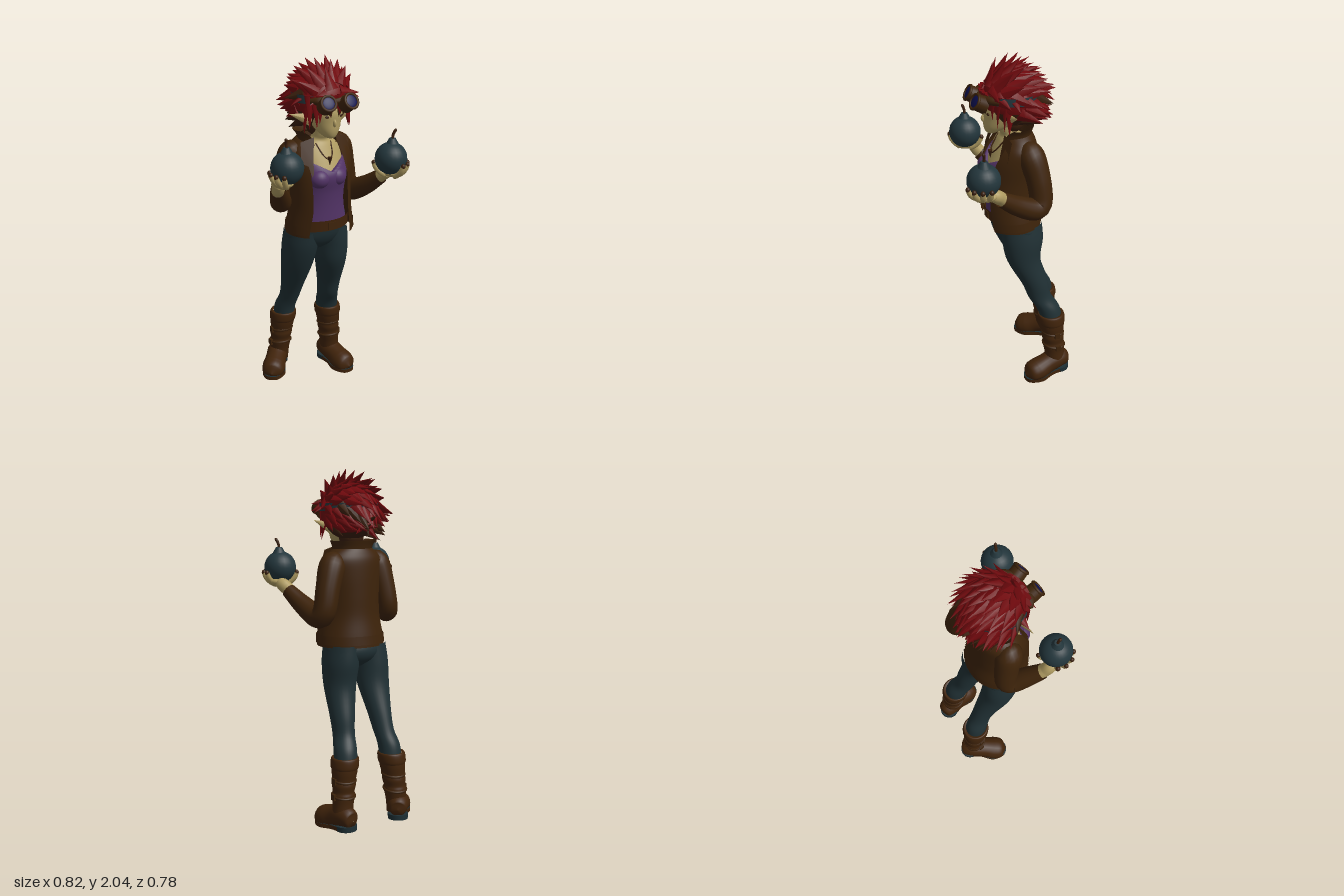
import * as THREE from 'three';
import { mergeGeometries, mergeVertices } from 'three/addons/utils/BufferGeometryUtils.js';

const V = (x, y, z) => new THREE.Vector3(x, y, z);
const paint = (name, color, side = THREE.FrontSide) => {
  const m = new THREE.MeshStandardMaterial({ color, side });
  m.name = name;
  return m;
};

// Drop uvs and weld so normals are smooth across seams
function weld(g) {
  g.deleteAttribute('uv');
  g.deleteAttribute('normal');
  g = mergeVertices(g, 1e-5);
  g.computeVertexNormals();
  return g;
}

// Smooth stack of ellipses, bottom to top: [y, cx, cz, rx, rz, half angle of the front gap]
function loft(rings, seg = 32, per = 5) {
  const mid = new THREE.CatmullRomCurve3(rings.map(r => V(r[1], r[0], r[2])), false, 'catmullrom');
  const rad = new THREE.CatmullRomCurve3(rings.map(r => V(r[3], r[4], r[5] || 0)), false, 'catmullrom');
  const rows = (rings.length - 1) * per, pos = [], idx = [];
  for (let i = 0; i <= rows; i++) {
    const c = mid.getPoint(i / rows), r = rad.getPoint(i / rows);
    for (let j = 0; j <= seg; j++) {
      const a = r.z + (j / seg) * (Math.PI * 2 - 2 * r.z);
      pos.push(c.x + Math.sin(a) * r.x, c.y, c.z + Math.cos(a) * r.y);
      if (i < rows && j < seg) {
        const k = i * (seg + 1) + j, u = k + seg + 1;
        idx.push(k, k + 1, u, k + 1, u + 1, u);
      }
    }
  }
  const g = new THREE.BufferGeometry();
  g.setAttribute('position', new THREE.Float32BufferAttribute(pos, 3));
  g.setIndex(idx);
  return weld(g);
}

// Tube of changing radius: [x, y, z, r]
function limb(pts, sides = 14, n = 24) {
  const path = new THREE.CatmullRomCurve3(pts.map(p => V(p[0], p[1], p[2])), false, 'catmullrom');
  const rad = new THREE.CatmullRomCurve3(pts.map(p => V(p[3], 0, 0)), false, 'catmullrom');
  const g = new THREE.TubeGeometry(path, n, 1, sides), p = g.attributes.position, v = V(0, 0, 0);
  for (let i = 0; i < p.count; i++) {
    const u = Math.floor(i / (sides + 1)) / n, c = path.getPointAt(u);
    const r = rad.getPoint(path.getUtoTmapping(u)).x;
    v.fromBufferAttribute(p, i).sub(c).multiplyScalar(Math.max(r, 0.0005)).add(c);
    p.setXYZ(i, v.x, v.y, v.z);
  }
  return weld(g);
}

const ball = (x, y, z, rx, ry = rx, rz = rx) => new THREE.SphereGeometry(1, 24, 16).scale(rx, ry, rz).translate(x, y, z);

// Flat hair lock from root p along dir, curving by bend
function lock(p, dir, normal, len, w, bend) {
  const g = new THREE.ConeGeometry(w, len, 6, 4).translate(0, len / 2, 0).scale(1, 1, 0.45);
  const y = dir.clone().normalize(), x = V(0, 0, 0).crossVectors(y, normal).normalize();
  g.applyMatrix4(new THREE.Matrix4().makeBasis(x, y, V(0, 0, 0).crossVectors(x, y)));
  const a = g.attributes.position;
  for (let i = 0; i < a.count; i++) {
    const t = Math.max(0, V(a.getX(i), a.getY(i), a.getZ(i)).dot(y) / len) ** 2;
    a.setXYZ(i, a.getX(i) + p.x + bend.x * t, a.getY(i) + p.y + bend.y * t, a.getZ(i) + p.z + bend.z * t);
  }
  g.computeVertexNormals();
  return g;
}

export function createModel() {
  const root = new THREE.Group();
  const jacketM = paint('jacket leather', 0x3d230a, THREE.DoubleSide);
  const bootM = paint('boot leather', 0x41240b);
  const denim = paint('denim', 0x203034), iron = paint('iron', 0x23363c);
  const skin = paint('skin', 0xb09c62), red = paint('red hair', 0x70090d);
  const darkHair = paint('dark hair', 0x3a1f0d);
  const purple = paint('purple shirt', 0x523366, THREE.DoubleSide);
  const glass = paint('blue glass', 0x0d0f50), sole = paint('sole', 0x1e2f34);
  const add = (name, g, m, parent = root) => {
    const mesh = new THREE.Mesh(g, m);
    mesh.name = name;
    parent.add(mesh);
    return mesh;
  };

  // Trousers
  add('hips', loft([[0.91, 0.005, -0.04, 0.07, 0.05], [0.95, 0.003, -0.04, 0.15, 0.105], [1.0, 0, -0.035, 0.194, 0.132],
    [1.06, 0, -0.02, 0.185, 0.135], [1.13, 0, 0, 0.165, 0.13]]), denim);
  add('rightLeg', loft([[0.36, -0.09, -0.265, 0.066, 0.066], [0.46, -0.09, -0.245, 0.063, 0.068], [0.54, -0.082, -0.205, 0.059, 0.067],
    [0.64, -0.085, -0.16, 0.068, 0.076], [0.8, -0.098, -0.085, 0.094, 0.097], [0.93, -0.099, -0.05, 0.101, 0.12], [1.04, -0.09, -0.033, 0.1, 0.125]]), denim);
  add('leftLeg', loft([[0.36, 0.187, -0.2, 0.068, 0.066], [0.46, 0.175, -0.175, 0.066, 0.07], [0.54, 0.152, -0.13, 0.062, 0.07],
    [0.64, 0.14, -0.1, 0.071, 0.078], [0.8, 0.112, -0.04, 0.092, 0.1], [0.93, 0.104, -0.035, 0.101, 0.122], [1.04, 0.09, -0.03, 0.1, 0.125]]), denim);
  add('belt', loft([[1.06, 0, -0.005, 0.185, 0.147], [1.125, 0, 0.003, 0.177, 0.147]], 32, 2), bootM);
  add('beltBuckle', new THREE.BoxGeometry(0.05, 0.04, 0.008).translate(0, 1.09, 0.148), jacketM);

  // Boots: shaft, cuff, straps, foot and sole
  const boots = [
    { name: 'right', top: [-0.093, -0.262], ankle: [-0.108, -0.3], heel: [-0.103, 0.03, -0.318], turn: -0.72 },
    { name: 'left', top: [0.187, -0.19], ankle: [0.219, -0.21], heel: [0.217, 0.004, -0.232], turn: 0.1 }];
  for (const b of boots) {
    const boot = new THREE.Group();
    boot.name = b.name + 'Boot';
    root.add(boot);
    const at = (y, r) => {
      const t = (0.42 - y) / 0.32, m = (i) => b.top[i] + (b.ankle[i] - b.top[i]) * t;
      return [y, m(0), m(1), r, r * 1.02];
    };
    add('shaft', loft([at(0.07, 0.06), at(0.15, 0.06), at(0.2, 0.066), at(0.225, 0.062), at(0.26, 0.068), at(0.29, 0.066), at(0.34, 0.074), at(0.4, 0.077)]), bootM, boot);
    add('cuff', loft([at(0.355, 0.076), at(0.37, 0.081), at(0.405, 0.081), at(0.42, 0.075), at(0.415, 0.06)], 32, 3), bootM, boot);
    for (const y of [0.2, 0.29]) {
      const s = at(y, 0.065);
      add('strap', new THREE.TorusGeometry(s[3], 0.008, 8, 28).rotateX(1.45).translate(s[1], y, s[2]), jacketM, boot);
      add('strapBuckle', new THREE.BoxGeometry(0.016, 0.035, 0.03).translate(s[1] + Math.sign(s[1]) * 0.069, y, s[2]), jacketM, boot);
    }
    const foot = new THREE.Group();
    foot.name = 'foot';
    foot.position.set(...b.heel);
    foot.rotation.set(0.06, b.turn, 0, 'YXZ');
    boot.add(foot);
    const shoe = limb([[0, 0.06, -0.07, 0], [0, 0.06, -0.056, 0.045], [0, 0.08, 0, 0.064], [0, 0.065, 0.08, 0.064],
      [0, 0.045, 0.145, 0.072], [0, 0.04, 0.2, 0.058], [0, 0.04, 0.23, 0]], 20, 40);
    const p = shoe.attributes.position;
    for (let i = 0; i < p.count; i++) p.setY(i, Math.max(p.getY(i), 0.022));
    shoe.computeVertexNormals();
    add('shoe', shoe, bootM, foot);
    const outline = new THREE.Shape(new THREE.SplineCurve([[0, -0.07], [0.052, -0.035], [0.052, 0.06], [0.072, 0.145], [0.044, 0.215], [0, 0.232],
      [-0.044, 0.215], [-0.072, 0.145], [-0.052, 0.06], [-0.052, -0.035], [0, -0.07]].map(q => new THREE.Vector2(q[0], -q[1]))).getPoints(50));
    add('sole', new THREE.ExtrudeGeometry(outline, { depth: 0.024, bevelEnabled: false }).rotateX(-Math.PI / 2), [sole, bootM], foot);
    add('heel', new THREE.CylinderGeometry(0.06, 0.058, 0.03, 24).translate(0, 0.014, -0.012), sole, foot);
  }

  // Torso: chest, neck, shirt with a V neckline, pendant
  add('chest', loft([[1.3, 0, 0.01, 0.13, 0.12], [1.38, 0, 0.015, 0.14, 0.125], [1.46, 0, 0.005, 0.14, 0.105], [1.54, 0, -0.01, 0.12, 0.082],
    [1.575, 0.003, 0, 0.062, 0.055], [1.61, 0.005, 0.02, 0.048, 0.05], [1.7, 0.005, 0.045, 0.05, 0.05]]), skin);
  const shirt = loft([[1.08, 0, 0, 0.17, 0.137], [1.2, 0, 0.008, 0.145, 0.13], [1.29, 0, 0.012, 0.145, 0.134], [1.37, 0, 0.017, 0.155, 0.146],
    [1.42, 0, 0.014, 0.155, 0.136], [1.48, 0, 0.003, 0.15, 0.108]], 48, 6);
  const sp = shirt.attributes.position;
  for (let i = 0; i < sp.count; i++) sp.setY(i, Math.min(sp.getY(i), 1.41 + 0.55 * Math.abs(sp.getX(i))));
  shirt.computeVertexNormals();
  add('shirt', shirt, purple);
  for (const s of [-1, 1]) add('bust', ball(-0.01 + s * 0.055, 1.372, 0.115, 0.06, 0.055, 0.055), purple);
  add('necklace', limb([[-0.05, 1.56, 0.05, 0.004], [-0.03, 1.5, 0.098, 0.004], [0, 1.475, 0.112, 0.004], [0.03, 1.5, 0.098, 0.004], [0.05, 1.56, 0.05, 0.004]], 6), darkHair);
  add('pendant', new THREE.ConeGeometry(0.014, 0.05, 6).rotateX(Math.PI).translate(0, 1.465, 0.12), darkHair);

  // Jacket, open at the front and hanging a little to one side
  add('jacket', loft([[1.03, 0.004, 0, 0.202, 0.176, 0.7], [1.08, 0.004, 0.004, 0.2, 0.176, 0.68], [1.2, 0.003, 0.017, 0.18, 0.171, 0.66],
    [1.32, 0.003, 0.014, 0.18, 0.165, 0.66], [1.44, 0.005, 0.002, 0.19, 0.15, 0.66], [1.52, 0.008, -0.018, 0.185, 0.124, 0.7],
    [1.565, 0.008, -0.03, 0.15, 0.098, 0.72], [1.6, 0.008, -0.03, 0.1, 0.08, 0.75]], 44).rotateY(-0.1), jacketM);
  add('jacketHem', loft([[1.045, 0.004, 0.002, 0.207, 0.18, 0.7], [1.095, 0.004, 0.006, 0.203, 0.179, 0.68]], 40, 2).rotateY(-0.1), jacketM);
  add('collar', loft([[1.55, 0.006, -0.015, 0.12, 0.095, 0.62], [1.6, 0.004, -0.018, 0.125, 0.1, 0.75], [1.635, 0, -0.02, 0.146, 0.108, 1.05]], 36, 3), jacketM);
  for (const s of [-1, 1]) {
    const flap = new THREE.Shape([[0.07, 1.6], [0.15, 1.58], [0.165, 1.47], [0.13, 1.45], [0.115, 1.36], [0.1, 1.47]].map(q => new THREE.Vector2(q[0] * s, q[1])));
    const g = new THREE.ShapeGeometry(flap), p = g.attributes.position;
    for (let i = 0; i < p.count; i++) p.setZ(i, 0.145 - (p.getY(i) - 1.36) * 0.34 - Math.max(0, Math.abs(p.getX(i)) - 0.1) * 0.35);
    g.computeVertexNormals();
    add('lapel', g, jacketM);
  }

  // Arms, hands and the round bombs they carry
  const arms = [
    { name: 'right', s: -1, arm: [[-0.11, 1.54, -0.035, 0.04], [-0.15, 1.5, -0.045, 0.075], [-0.172, 1.38, -0.08, 0.068], [-0.19, 1.25, -0.1, 0.062],
      [-0.212, 1.215, -0.065, 0.064], [-0.258, 1.27, 0, 0.056], [-0.305, 1.335, 0.065, 0.044]], bomb: [-0.3, 1.485, 0.158], tip: -0.01,
      fingers: [-2.2, -1.7, -1.2, -0.7], thumb: 2.6 },
    { name: 'left', s: 1, arm: [[0.12, 1.54, -0.035, 0.04], [0.168, 1.5, -0.05, 0.076], [0.218, 1.38, -0.075, 0.07], [0.248, 1.25, -0.08, 0.066],
      [0.262, 1.215, -0.035, 0.066], [0.282, 1.27, 0.08, 0.056], [0.31, 1.345, 0.185, 0.042]], bomb: [0.305, 1.475, 0.28], tip: 0.022,
      fingers: [1.65, 1.15, 0.65, 0.15], thumb: -2.3 }];
  for (const a of arms) {
    add(a.name + 'Sleeve', limb(a.arm, 18, 36), jacketM);
    const [x, y, z] = a.bomb, w = a.arm[6];
    const hand = new THREE.Group();
    hand.name = a.name + 'Hand';
    root.add(hand);
    add('wrist', limb([[w[0] - a.s * 0.01, w[1] - 0.015, w[2] - 0.02, 0.036], [w[0] + a.s * 0.006, w[1] + 0.015, w[2] + 0.012, 0.038],
      [x + a.s * 0.025, y - 0.092, z - 0.05, 0.036], [x + a.s * 0.015, y - 0.095, z, 0.02]]), skin, hand);
    add('palm', ball(x + a.s * 0.018, y - 0.083, z - 0.01, 0.054, 0.028, 0.062), skin, hand);
    [...a.fingers, a.thumb].forEach((az, k) => {
      const pts = [0.3, 0.65, 1.0, 1.28].map((q, i) => [x + Math.sin(az) * Math.sin(q) * 0.1,
        y - Math.cos(q) * 0.103, z + Math.cos(az) * Math.sin(q) * 0.1, [0.018, 0.017, 0.016, 0.013][i]]);
      add(k === 4 ? 'thumb' : 'finger', limb(pts, 8, 10), skin, hand);
      add('fingerTip', ball(...pts[3].slice(0, 3), 0.013, 0.015, 0.013), darkHair, hand);
    });
    const bomb = new THREE.Group();
    bomb.name = a.name + 'Bomb';
    root.add(bomb);
    add('bombBody', ball(x, y, z, 0.092), iron, bomb);
    add('bombNeck', new THREE.CylinderGeometry(0.018, 0.04, 0.04, 18).translate(x + a.tip * 0.3, y + 0.095, z), iron, bomb);
    add('fuse', limb([[x + a.tip * 0.3, y + 0.1, z, 0.008], [x + a.tip * 0.5, y + 0.135, z, 0.008], [x + a.tip, y + 0.162, z + 0.008, 0.008], [x + a.tip, y + 0.168, z + 0.009, 0]], 8), darkHair, bomb);
  }

  // Head, nose, mouth, eyes and pointed ears
  add('head', loft([[1.598, 0.005, 0.118, 0.004, 0.004], [1.606, 0.005, 0.112, 0.03, 0.032], [1.64, 0.005, 0.082, 0.062, 0.075], [1.69, 0.005, 0.06, 0.085, 0.1],
    [1.75, 0.005, 0.05, 0.1, 0.112], [1.82, 0.005, 0.035, 0.1, 0.1], [1.88, 0.005, 0.02, 0.07, 0.07]]), skin);
  add('nose', ball(0.003, 1.69, 0.158, 0.01, 0.022, 0.016), skin);
  add('mouth', ball(0.003, 1.645, 0.152, 0.018, 0.0025, 0.005), darkHair);
  for (const s of [-1, 1]) {
    add('eye', ball(0.005 + s * 0.04, 1.727, 0.15, 0.018, 0.008, 0.006), darkHair);
    add('ear', lock(V(s * 0.09, 1.705, 0.06), V(s, 0.3, -0.05), V(0, 0, 1), 0.14, 0.042, V(0, 0.005, 0)), skin);
  }

  // Hair: rounded base, dark underneath, with broad swept-back locks
  const C = V(0.014, 1.795, 0), R = V(0.165, 0.16, 0.158), bright = [], dark = [];
  const cap = (from, span) => new THREE.SphereGeometry(1, 28, 12, 0, Math.PI * 2, from, span).scale(R.x, R.y, R.z).translate(C.x, C.y, C.z);
  add('hairBase', cap(0, 1.85), red);
  add('hairUnderside', cap(1.85, Math.PI - 1.85).translate(0, 0, -0.012), darkHair);
  add('nape', ball(0.006, 1.655, -0.01, 0.075, 0.07, 0.065), darkHair);
  const total = 115;
  for (let i = 0; i < total; i++) {
    const ny = 1 - 1.7 * (i + 0.5) / total, a = i * 2.39996, h = Math.sqrt(1 - ny * ny);
    const n = V(Math.sin(a) * h, ny, Math.cos(a) * h);
    if (n.z > 0.2 && ny < 0.25) continue;
    const jitter = ((i * 37) % 11) / 11, back = Math.max(0, -n.z);
    const flow = V(n.x * 0.2, ny > 0.4 ? 0.05 : -0.45, -1).projectOnPlane(n).normalize();
    const dir = flow.multiplyScalar(0.9).addScaledVector(n, 0.12 + jitter * 0.16 + back * 0.12);
    const p = n.clone().multiply(R).multiplyScalar(0.93).add(C);
    ((ny < 0.4 && i % 4 === 0) || ny < -0.55 ? dark : bright).push(lock(p, dir, n, 0.115 + jitter * 0.04, 0.046, V(n.x * 0.015, ny * 0.008, n.z * 0.01)));
  }
  // Fringe and side locks around the face: [x, length, lean]
  for (const [x, len, lean] of [[-0.118, 0.19, -0.05], [-0.1, 0.18, 0.02], [-0.075, 0.15, -0.1], [-0.045, 0.12, 0.15], [-0.015, 0.1, -0.1],
    [0.02, 0.11, 0.1], [0.05, 0.1, -0.1], [0.08, 0.14, 0.1], [0.105, 0.18, 0.08], [0.122, 0.2, 0.12]])
    bright.push(lock(V(x + 0.004, 1.845, 0.045 + 0.116 * Math.sqrt(1 - (x / 0.128) ** 2)), V(lean, -1, 0.12), V(0, 0, 1), len, 0.034, V(0, 0, -0.008)));
  for (const s of [-1, 1]) {
    bright.push(lock(V(0.01 + s * 0.128, 1.8, 0.055), V(s * 0.12, -1, 0.1), V(s, 0, 0), 0.17, 0.04, V(0, 0, 0)));
    bright.push(lock(V(0.014 + s * 0.13, 1.83, 0.04), V(s, -0.25, 0), V(0, 1, 0), 0.09, 0.035, V(0, -0.02, 0)));
    dark.push(lock(V(0.005 + s * 0.035, 1.77, 0.158), V(-s * 0.3, -1, 0), V(0, 0, 1), 0.06, 0.02, V(0, 0, 0)));
  }
  add('hairSpikes', mergeGeometries(bright), red);
  add('darkHairSpikes', mergeGeometries(dark), darkHair);

  // Goggles pushed up on the forehead
  const goggles = new THREE.Group();
  goggles.name = 'goggles';
  root.add(goggles);
  add('strap', loft([[1.8, 0.014, 0.002, 0.172, 0.168], [1.845, 0.014, 0, 0.17, 0.166]], 36, 2), iron, goggles);
  add('bridge', limb([[-0.125, 1.82, 0.115, 0.016], [-0.08, 1.82, 0.152, 0.024], [0, 1.815, 0.172, 0.015], [0.08, 1.82, 0.158, 0.024], [0.14, 1.82, 0.115, 0.016]], 10), jacketM, goggles);
  for (const [x, z, yaw] of [[-0.07, 0.2, -0.18], [0.064, 0.212, 0.06]]) {
    const eye = new THREE.Group();
    eye.name = 'eyepiece';
    eye.position.set(x, 1.81, z);
    eye.rotation.set(-0.5, yaw, 0, 'YXZ');
    goggles.add(eye);
    add('cup', new THREE.CylinderGeometry(0.044, 0.048, 0.06, 24).rotateX(Math.PI / 2).translate(0, 0, -0.012), jacketM, eye);
    add('rim', new THREE.TorusGeometry(0.041, 0.008, 10, 28).translate(0, 0, 0.02), jacketM, eye);
    add('lens', ball(0, 0, 0.018, 0.038, 0.038, 0.008), glass, eye);
  }
  return root;
}
